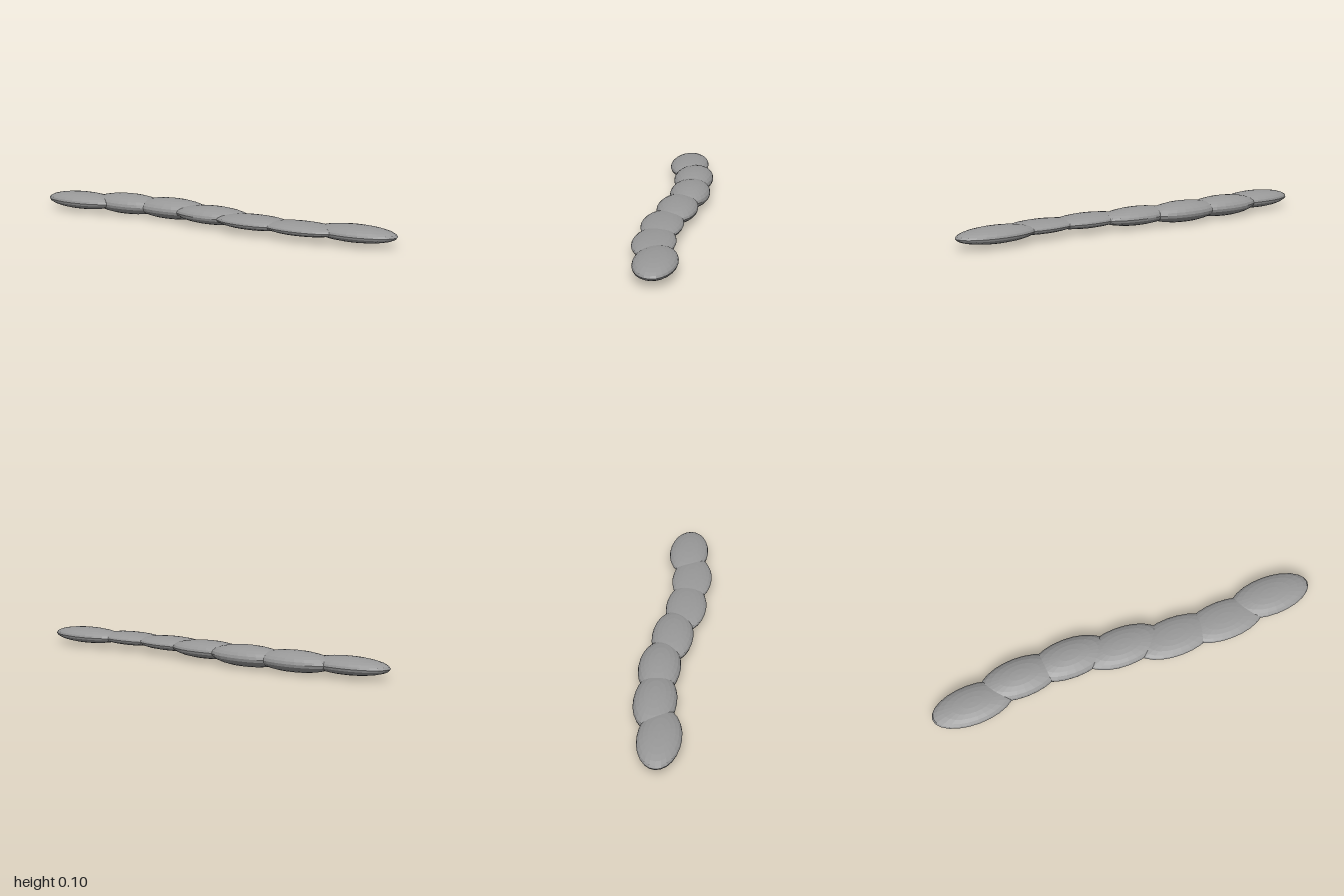
import * as THREE from 'three';

// A gently waving chain of seven overlapping flattened ellipsoids.
export function createModel() {
  const model = new THREE.Group();
  model.name = 'segmentedBody';

  const grey = new THREE.MeshStandardMaterial({ color: 0x999999, flatShading: true });
  grey.name = 'grey';

  const unit = 2 / 38;
  const count = 7;
  const sphere = new THREE.SphereGeometry(1, 24, 12);
  const halfHeight = (i) => unit * (0.8 + 0.2 * Math.sin(i));
  const centreY = halfHeight(2); // the tallest segment touches the ground

  for (let i = 0; i < count; i++) {
    const segment = new THREE.Mesh(sphere, grey);
    segment.name = `bodySegment${i + 1}`;
    segment.scale.set(4 * unit, halfHeight(i), 0.103);
    segment.position.set((i - (count - 1) / 2) * 5 * unit, centreY, -unit * Math.sin(i) - 0.001);
    model.add(segment);
  }
  return model;
}
